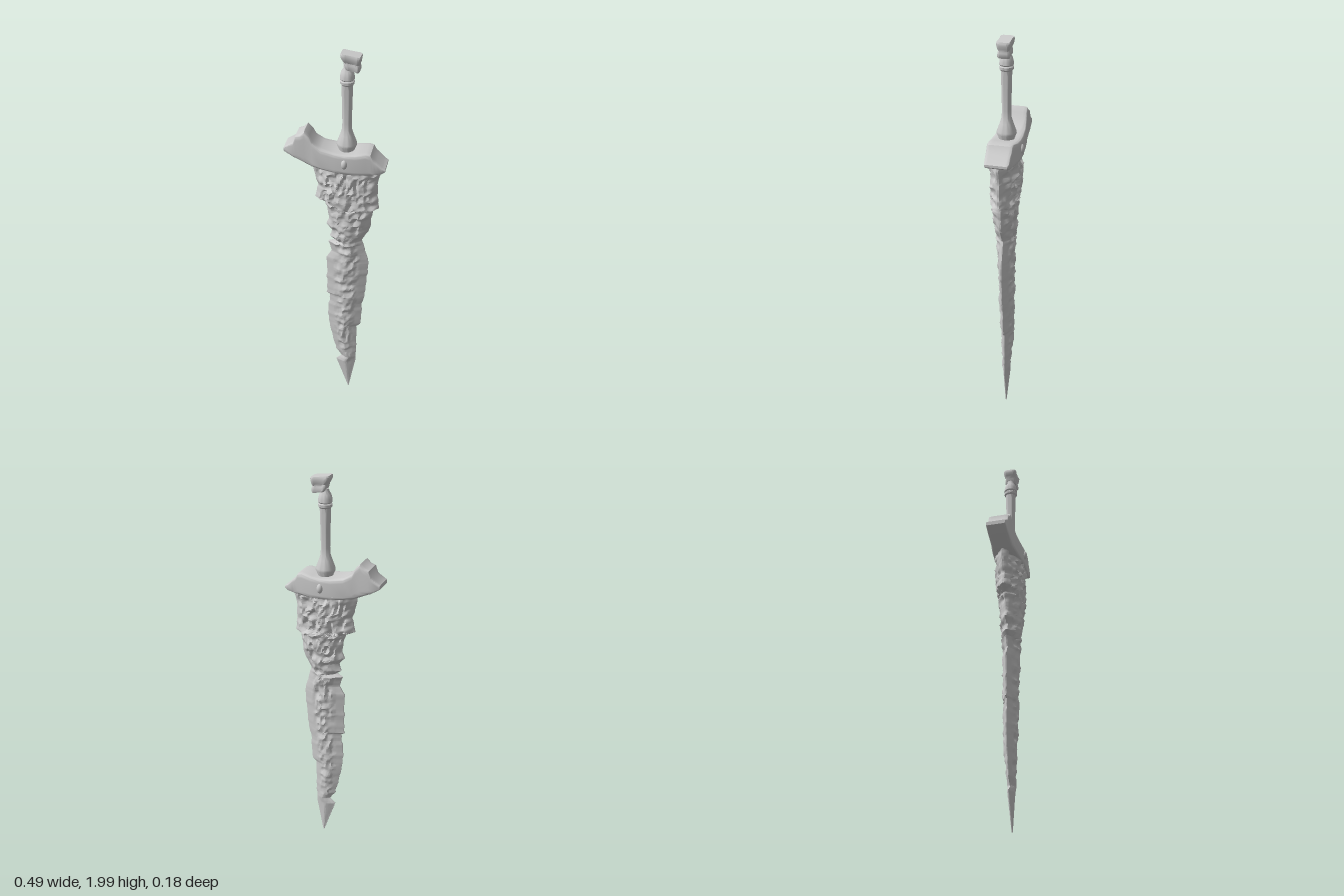
import * as THREE from 'three';
import { toCreasedNormals } from 'three/addons/utils/BufferGeometryUtils.js';

const material = new THREE.MeshStandardMaterial({ color: 0xcccccc });
const AXIS_X = 0.05;

function addMesh(parent, name, geometry) {
  const mesh = new THREE.Mesh(geometry, material);
  mesh.name = name;
  parent.add(mesh);
  return mesh;
}

// Skin a row of closed rings (counter-clockwise about the direction of travel) and cap both ends
function loft(rings, crease) {
  const n = rings[0].length, index = [];
  const points = rings.flat();
  for (let i = 0; i < rings.length - 1; i++) {
    for (let j = 0; j < n; j++) {
      const a = i * n + j, b = i * n + (j + 1) % n;
      index.push(a, b, b + n, a, b + n, a + n);
    }
  }
  for (const last of [false, true]) {
    const ring = rings[last ? rings.length - 1 : 0];
    const start = last ? (rings.length - 1) * n : 0;
    const centre = ring.reduce((s, p) => s.add(p), new THREE.Vector3()).divideScalar(n);
    const c = points.push(centre) - 1;
    for (let j = 0; j < n; j++) {
      const a = start + j, b = start + (j + 1) % n;
      if (last) index.push(a, b, c); else index.push(b, a, c);
    }
  }
  const geometry = new THREE.BufferGeometry().setFromPoints(points);
  geometry.setIndex(index);
  return toCreasedNormals(geometry, crease);
}

// Rounded rectangle as unit coordinates [sin, cos]
function roundedRect(count, power) {
  const soft = (v) => Math.sign(v) * Math.abs(v) ** (2 / power);
  return Array.from({ length: count }, (_, i) => {
    const a = (i + 0.5) / count * Math.PI * 2;
    return [soft(Math.sin(a)), soft(Math.cos(a))];
  });
}

// Linear lookup in a list of [key, value] with ascending keys
function lookup(table, key) {
  let i = 0;
  while (i < table.length - 2 && key > table[i + 1][0]) i++;
  const [k0, v0] = table[i], [k1, v1] = table[i + 1];
  return THREE.MathUtils.lerp(v0, v1, THREE.MathUtils.clamp((key - k0) / (k1 - k0), 0, 1));
}

// Smooth value noise, 0 to 1
function hash(x, y, seed) {
  const s = Math.sin(x * 127.1 + y * 311.7 + seed * 74.7) * 43758.5453;
  return s - Math.floor(s);
}
function noise(x, y, seed) {
  const ix = Math.floor(x), iy = Math.floor(y);
  const fx = THREE.MathUtils.smoothstep(x - ix, 0, 1), fy = THREE.MathUtils.smoothstep(y - iy, 0, 1);
  const row = (dy) => THREE.MathUtils.lerp(hash(ix, iy + dy, seed), hash(ix + 1, iy + dy, seed), fx);
  return THREE.MathUtils.lerp(row(0), row(1), fy);
}

// Chipped blade: ragged outline, central ridge and an eroded surface
function bladeGeometry() {
  const left = [[0.01, 0.066], [0.2, 0], [0.225, 0.03], [0.27, 0], [0.39, -0.025], [0.515, -0.045],
    [0.64, -0.032], [0.65, -0.05], [0.875, -0.05], [0.92, -0.02], [0.975, -0.04], [0.985, 0],
    [1.01, -0.035], [1.045, -0.02], [1.08, -0.05], [1.13, -0.035], [1.21, -0.055], [1.235, -0.108],
    [1.30, -0.09], [1.36, -0.105], [1.43, -0.118]];
  const right = [[0.01, 0.07], [0.2, 0.105], [0.44, 0.11], [0.46, 0.13], [0.6, 0.135], [0.65, 0.15],
    [0.865, 0.165], [0.945, 0.145], [1.0, 0.125], [1.06, 0.165], [1.155, 0.18], [1.19, 0.18],
    [1.2, 0.21], [1.315, 0.2], [1.395, 0.215], [1.43, 0.215]];
  const thickness = [[0.01, 0.003], [0.2, 0.02], [0.4, 0.03], [0.8, 0.04], [1.0, 0.044],
    [1.2, 0.058], [1.35, 0.066], [1.43, 0.064]];
  const rows = 180, columns = 26;
  const heights = [...new Set([...left, ...right].map((p) => p[0])
    .concat(Array.from({ length: rows }, (_, i) => 0.01 + 1.42 * i / (rows - 1))))].sort((a, b) => a - b);

  const rings = heights.map((y) => {
    const rough = THREE.MathUtils.smoothstep(y, 0.15, 0.3);
    const ragged = 0.007 * rough;
    const x0 = lookup(left, y) + ragged * (noise(y * 45, 3, 1) - 0.5);
    const x1 = lookup(right, y) + ragged * (noise(y * 45, 7, 2) - 0.5);
    const t = lookup(thickness, y);
    const wide = THREE.MathUtils.smoothstep(y, 0.9, 1.15);
    const side = (sign) => Array.from({ length: columns }, (_, j) => {
      const u = j / (columns - 1), s = Math.abs(2 * u - 1);
      const x = THREE.MathUtils.lerp(x0, x1, u);
      const body = 1 - s ** THREE.MathUtils.lerp(1.2, 2.2, wide);
      const band = (1 - THREE.MathUtils.smoothstep(s, 0.35 + 0.45 * wide, 0.65 + 0.35 * wide)) * rough;
      const seed = sign > 0 ? 11 : 23;
      const coarse = Math.abs(noise(x * 38, y * 22, seed) * 2 - 1);
      const fine = noise(x * 85, y * 55, seed + 5) - 0.5;
      const erosion = band * t * (0.42 * (0.45 - coarse) + 0.22 * fine);
      const z = Math.max(0.002, 0.08 * t + 0.92 * t * body + erosion);
      return new THREE.Vector3(x, y, sign * z);
    });
    return [...side(1), ...side(-1).reverse()];
  });
  return loft(rings, 0.75);
}

// Curved guard: x, underside, top, half depth
function guardGeometry() {
  const sections = [[-0.245, 1.495, 1.515, 0.05], [-0.2, 1.465, 1.545, 0.053], [-0.188, 1.46, 1.58, 0.054],
    [-0.165, 1.45, 1.588, 0.055], [-0.145, 1.44, 1.608, 0.056], [-0.122, 1.43, 1.585, 0.057],
    [-0.108, 1.425, 1.555, 0.06], [-0.065, 1.418, 1.526, 0.066], [0, 1.41, 1.514, 0.072],
    [0.05, 1.406, 1.511, 0.075], [0.1, 1.405, 1.515, 0.073], [0.15, 1.408, 1.524, 0.067],
    [0.172, 1.41, 1.518, 0.064], [0.185, 1.412, 1.495, 0.063], [0.2, 1.415, 1.483, 0.062],
    [0.225, 1.422, 1.455, 0.06], [0.242, 1.433, 1.445, 0.056]];
  const outline = roundedRect(32, 9);
  return loft(sections.map(([x, low, high, depth]) => outline.map(([s, c]) =>
    new THREE.Vector3(x, (low + high) / 2 + c * (high - low) / 2, s * depth))), 0.7);
}

// Flared, tilted pommel block with a scalloped rim: y, centre x, half width, half depth
function pommelGeometry() {
  const sections = [[1.918, 0.076, 0.03, 0.028], [1.925, 0.076, 0.034, 0.031], [1.942, 0.073, 0.037, 0.029],
    [1.952, 0.071, 0.037, 0.026], [1.962, 0.07, 0.042, 0.031], [1.975, 0.068, 0.046, 0.034],
    [1.988, 0.068, 0.048, 0.035], [1.994, 0.068, 0.045, 0.032]];
  const outline = roundedRect(48, 7);
  return loft(sections.map(([y, x, width, depth]) => outline.map(([s, c]) => new THREE.Vector3(
    x + s * width, y - s * 0.006, c * depth * (0.96 + 0.05 * Math.cos(s * 9))))), 0.7);
}

export function createModel() {
  const sword = new THREE.Group();
  sword.name = 'sword';

  addMesh(sword, 'blade', bladeGeometry());
  addMesh(sword, 'guard', guardGeometry());

  // Oval studs on both faces of the guard
  for (const sign of [1, -1]) {
    const stud = addMesh(sword, sign > 0 ? 'frontStud' : 'backStud', new THREE.SphereGeometry(1, 20, 14));
    stud.scale.set(0.015, 0.024, 0.015);
    stud.position.set(AXIS_X, 1.465, sign * 0.073);
  }

  // Turned grip with a flared foot and a ringed collar
  const profile = [[0, 1.49], [0.036, 1.49], [0.038, 1.515], [0.048, 1.538], [0.047, 1.548], [0.032, 1.59],
    [0.024, 1.615], [0.022, 1.65], [0.024, 1.74], [0.026, 1.82], [0.027, 1.843], [0.033, 1.85],
    [0.034, 1.862], [0.029, 1.867], [0.034, 1.873], [0.033, 1.888], [0.028, 1.908], [0.019, 1.922],
    [0.017, 1.935], [0, 1.935]].map(([r, y]) => new THREE.Vector2(r, y));
  const grip = addMesh(sword, 'grip', toCreasedNormals(new THREE.LatheGeometry(profile, 32), 0.6));
  grip.position.x = AXIS_X;

  addMesh(sword, 'pommel', pommelGeometry());
  return sword;
}
